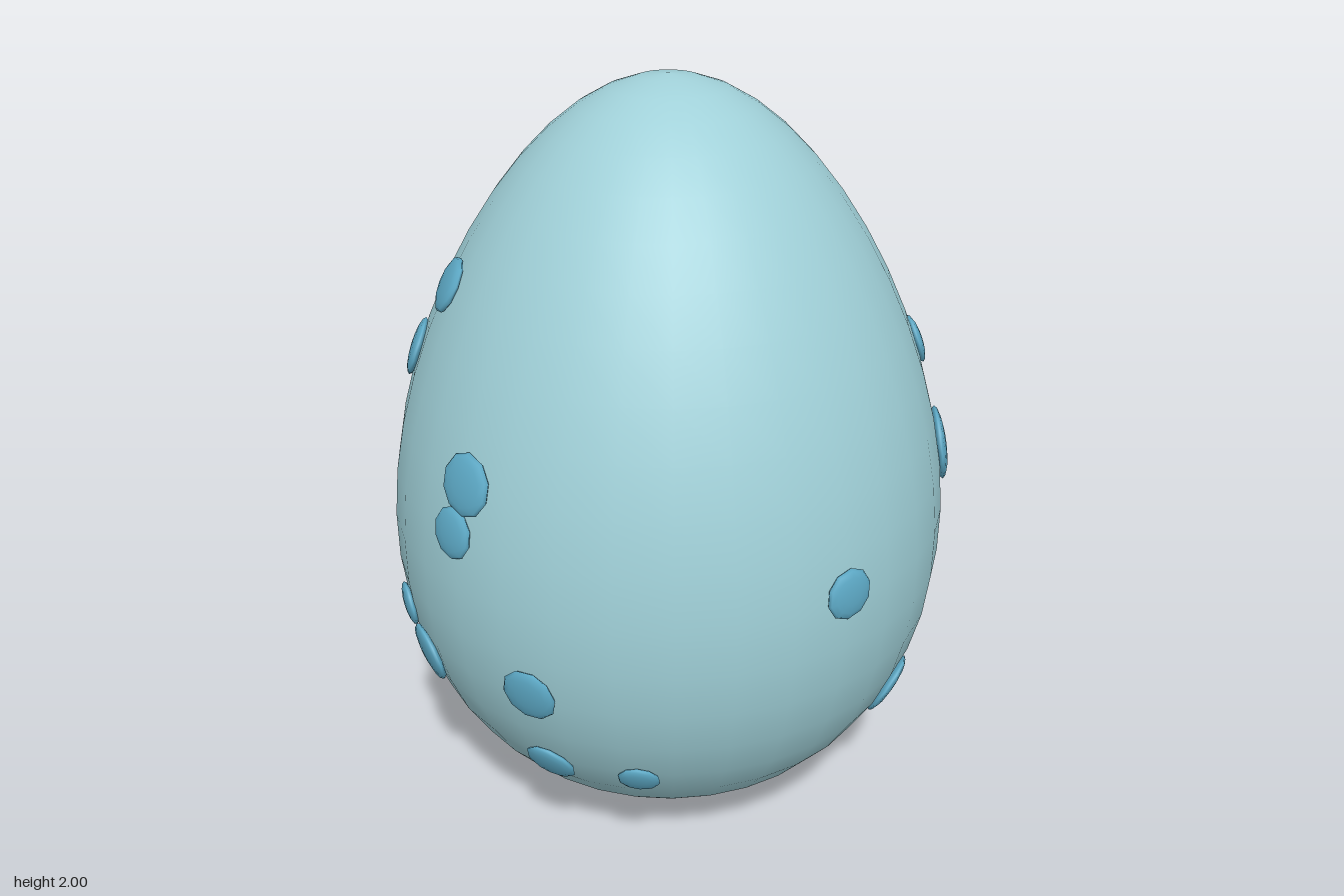
import * as THREE from 'three';

const shellMaterial = new THREE.MeshStandardMaterial({ color: 0xa0d0d8 });
shellMaterial.name = 'pale blue shell';
const spotMaterial = new THREE.MeshStandardMaterial({ color: 0x5eabc8 });
spotMaterial.name = 'blue speckle';

// Egg profile: polar angle from the top -> radius and height
const profile = (t) => new THREE.Vector2(
  Math.sin(t) * (0.73 - 0.15 * Math.cos(t)), 1 + Math.cos(t));

// Speckles: x, z (direction around the egg), height, radius
const SPOTS = [
  // left flank
  [0.32, -0.215, 1.775, 0.098], [0.44, -0.18, 1.67, 0.072], [0.225, -0.41, 1.68, 0.068],
  [0.55, -0.095, 1.53, 0.072], [0.61, -0.12, 1.385, 0.1], [0.657, -0.175, 1.225, 0.105],
  [0.577, -0.29, 1.325, 0.062], [0.647, 0.1, 1.29, 0.066], [0.72, 0.01, 1.05, 0.047],
  [0.7, 0.19, 1.02, 0.1], [0.738, -0.03, 0.695, 0.092], [0.72, -0.17, 0.705, 0.065],
  [0.535, 0.36, 0.38, 0.09],
  // front
  [0.29, 0.69, 0.895, 0.067], [-0.47, 0.56, 0.635, 0.075],
  [-0.415, 0.487, 0.37, 0.07], [-0.21, 0.605, 0.37, 0.055],
  // right flank
  [-0.575, 0.4, 1.14, 0.08], [-0.615, 0.39, 1.01, 0.067], [-0.585, 0.035, 1.51, 0.075],
  [-0.67, -0.11, 1.3, 0.08], [-0.69, 0.19, 0.55, 0.085], [-0.735, 0.1, 0.65, 0.06],
  // back
  [0.558, -0.485, 0.93, 0.055], [0.448, -0.585, 0.955, 0.055], [0.553, -0.48, 0.645, 0.065],
  [0.38, -0.465, 0.31, 0.068], [0.22, -0.58, 1.425, 0.095], [0.18, -0.72, 0.715, 0.073],
  [-0.265, -0.64, 1.18, 0.055], [-0.44, -0.5, 1.27, 0.088], [-0.265, -0.535, 1.44, 0.095],
  [-0.09, -0.57, 1.485, 0.088], [-0.47, -0.395, 1.4, 0.052], [-0.46, -0.31, 1.53, 0.048],
  [-0.4, -0.59, 0.58, 0.048],
];

export function createModel() {
  const group = new THREE.Group();
  group.name = 'speckledEgg';

  // Smooth shell turned from the profile, bottom to top
  const rings = 24;
  const points = Array.from({ length: rings + 1 }, (_, i) => profile(Math.PI * (1 - i / rings)));
  points[0].x = points[rings].x = 0;
  const shell = new THREE.Mesh(new THREE.LatheGeometry(points, 32), shellMaterial);
  shell.name = 'eggShell';
  group.add(shell);

  // Flattened domes lying on the shell, pole along the surface normal
  const dome = new THREE.SphereGeometry(1, 10, 8);
  const up = new THREE.Vector3(0, 1, 0);
  SPOTS.forEach(([x, z, y, size], i) => {
    const t = Math.acos(y - 1);
    const a = Math.atan2(x, z);
    const p = profile(t);
    const d = profile(t + 0.01).sub(profile(t - 0.01)).normalize();
    const normal = new THREE.Vector3(-d.y * Math.sin(a), d.x, -d.y * Math.cos(a));
    const spot = new THREE.Mesh(dome, spotMaterial);
    spot.name = `speckle${i + 1}`;
    spot.position.set(p.x * Math.sin(a), p.y, p.x * Math.cos(a)).addScaledVector(normal, 0.003);
    spot.quaternion.setFromUnitVectors(up, normal);
    spot.scale.set(size, 0.01 + size * 0.1, size);
    group.add(spot);
  });
  return group;
}
